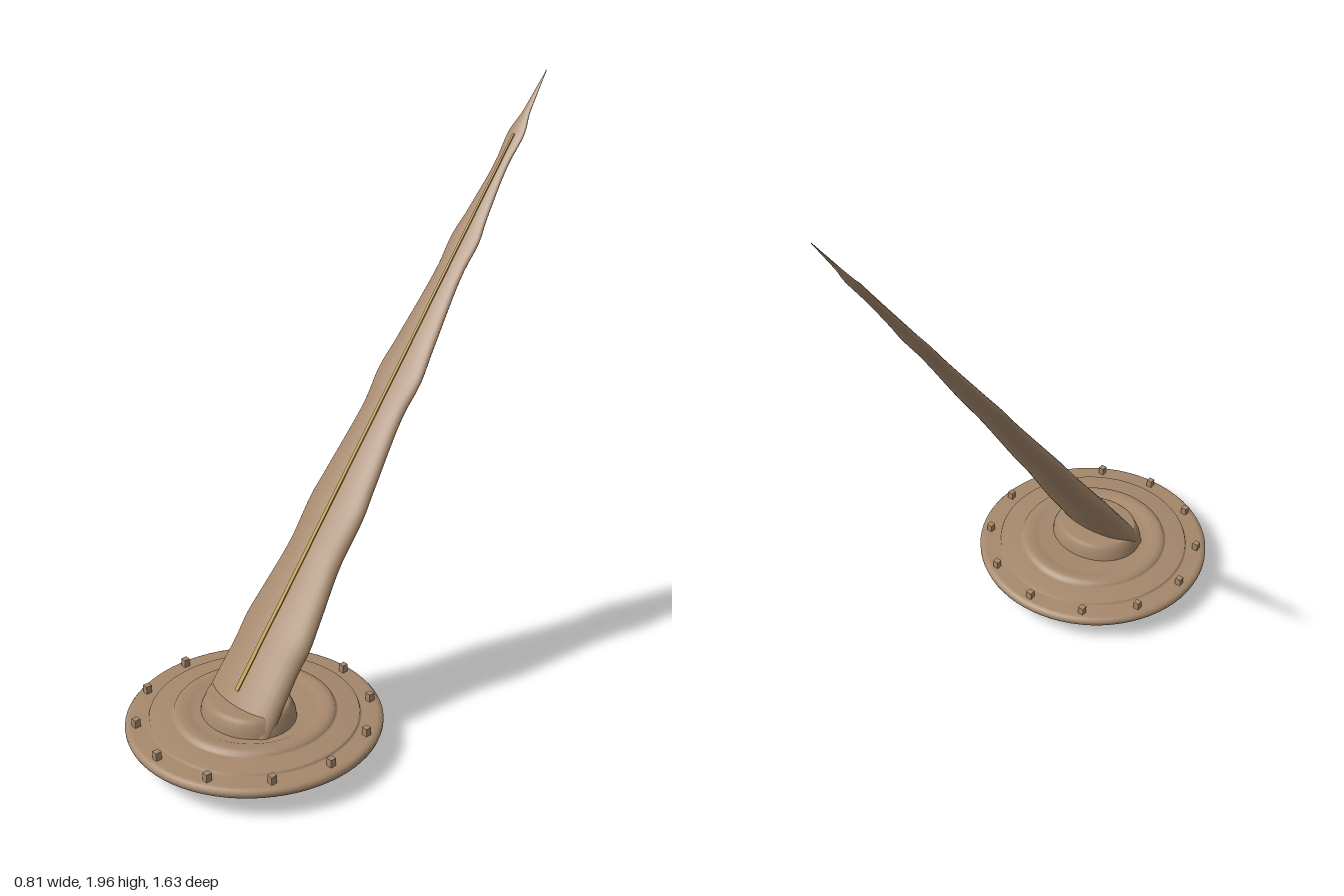
import * as THREE from 'three';

const bronze = new THREE.MeshStandardMaterial({ color: 0xa5886c });
bronze.name = 'bronze';
const gold = new THREE.MeshStandardMaterial({ color: 0xb8963c });
gold.name = 'gold';

const DISC_Z = 0.42;

function add(parent, name, geometry, material) {
  const mesh = new THREE.Mesh(geometry, material);
  mesh.name = name;
  parent.add(mesh);
  return mesh;
}

// Blade stations from pommel to tip: [centre y, centre z, half width, half thickness]
const stations = [
  [0.012, 0.558, 0.01, 0.003], [0.022, 0.56, 0.08, 0.015], [0.045, 0.552, 0.125, 0.03],
  [0.08, 0.522, 0.16, 0.052], [0.19, 0.444, 0.155, 0.052], [0.3, 0.367, 0.148, 0.049],
  [0.36, 0.325, 0.151, 0.047], [0.45, 0.262, 0.138, 0.043], [0.6, 0.158, 0.116, 0.038],
  [0.71, 0.082, 0.12, 0.034], [0.8, 0.019, 0.109, 0.031], [1.0, -0.121, 0.086, 0.025],
  [1.09, -0.184, 0.094, 0.022], [1.18, -0.248, 0.081, 0.02], [1.4, -0.403, 0.055, 0.015],
  [1.475, -0.457, 0.06, 0.014], [1.55, -0.51, 0.046, 0.012], [1.7, -0.617, 0.028, 0.009],
  [1.78, -0.674, 0.034, 0.008], [1.85, -0.723, 0.015, 0.005], [1.97, -0.808, 0.001, 0.001],
];

// Smooth skin of oval sections set square to the leaning axis
function bladeGeometry(steps = 120, sides = 32) {
  const path = new THREE.CatmullRomCurve3(stations.map(s => new THREE.Vector3(0, s[0], s[1])));
  const size = new THREE.CatmullRomCurve3(stations.map(s => new THREE.Vector3(s[2], s[3], 0)));
  const pos = [], index = [];
  for (let i = 0; i <= steps; i++) {
    const c = path.getPoint(i / steps), r = size.getPoint(i / steps);
    for (let j = 0; j < sides; j++) {
      const a = j / sides * Math.PI * 2, n = r.y * Math.sin(a);
      pos.push(r.x * Math.cos(a), c.y + 0.6 * n, c.z + 0.8 * n);
    }
  }
  for (let i = 0; i < steps; i++) {
    for (let j = 0; j < sides; j++) {
      const k = (j + 1) % sides;
      const a = i * sides + j, b = a + sides, d = i * sides + k, e = d + sides;
      index.push(a, b, d, b, e, d);
    }
  }
  for (let j = 1; j < sides - 1; j++) {
    index.push(0, j, j + 1);
    const t = steps * sides;
    index.push(t, t + j + 1, t + j);
  }
  const g = new THREE.BufferGeometry();
  g.setAttribute('position', new THREE.Float32BufferAttribute(pos, 3));
  g.setIndex(index);
  g.computeVertexNormals();
  return g;
}

export function createModel() {
  const model = new THREE.Group();
  model.name = 'leaningSpike';

  // Round stepped base plate
  const profile = [
    [0, 0.08], [0.39, 0.08], [0.402, 0.084], [0.405, 0.092], [0.405, 0.1], [0.398, 0.108],
    [0.385, 0.111], [0.337, 0.111], [0.332, 0.114], [0.33, 0.122], [0.262, 0.124],
    [0.256, 0.127], [0.252, 0.136], [0.235, 0.139], [0.205, 0.137], [0.188, 0.128], [0, 0.124],
  ].map(p => new THREE.Vector2(p[0], p[1]));
  add(model, 'basePlate', new THREE.LatheGeometry(profile, 72), bronze).position.z = DISC_Z;

  // Ring of square studs
  const studs = new THREE.Group();
  studs.name = 'studs';
  model.add(studs);
  for (let i = 0; i < 12; i++) {
    const a = i * Math.PI / 6;
    add(studs, 'stud', new THREE.BoxGeometry(0.02, 0.035, 0.02), bronze)
      .position.set(0.37 * Math.cos(a), 0.12, DISC_Z + 0.37 * Math.sin(a));
  }

  // Oval collar around the foot of the blade
  const collarProfile = [
    [1.03, 0.115], [1, 0.145], [0.94, 0.165], [0.9, 0.178], [0.84, 0.185], [0, 0.187],
  ].map(p => new THREE.Vector2(p[0], p[1]));
  const collar = add(model, 'collar', new THREE.LatheGeometry(collarProfile, 48), bronze);
  collar.scale.set(0.162, 1, 0.138);
  collar.position.z = 0.443;

  add(model, 'blade', bladeGeometry(), bronze);

  // Thin inlay along the front ridge, narrowing upward
  const inlay = new THREE.Group();
  inlay.name = 'ridgeInlay';
  model.add(inlay);
  const front = stations.slice(4, 19).map(s =>
    new THREE.Vector3(0, s[0] + 0.6 * s[3], s[1] + 0.8 * s[3]));
  for (let i = 0; i < front.length - 1; i++) {
    const a = front[i], b = front[i + 1];
    const strip = add(inlay, 'inlayStrip',
      new THREE.BoxGeometry(0.015 - 0.0006 * i, 0.008, a.distanceTo(b) + 0.002), gold);
    strip.position.copy(a).lerp(b, 0.5);
    strip.lookAt(b);
  }
  return model;
}
